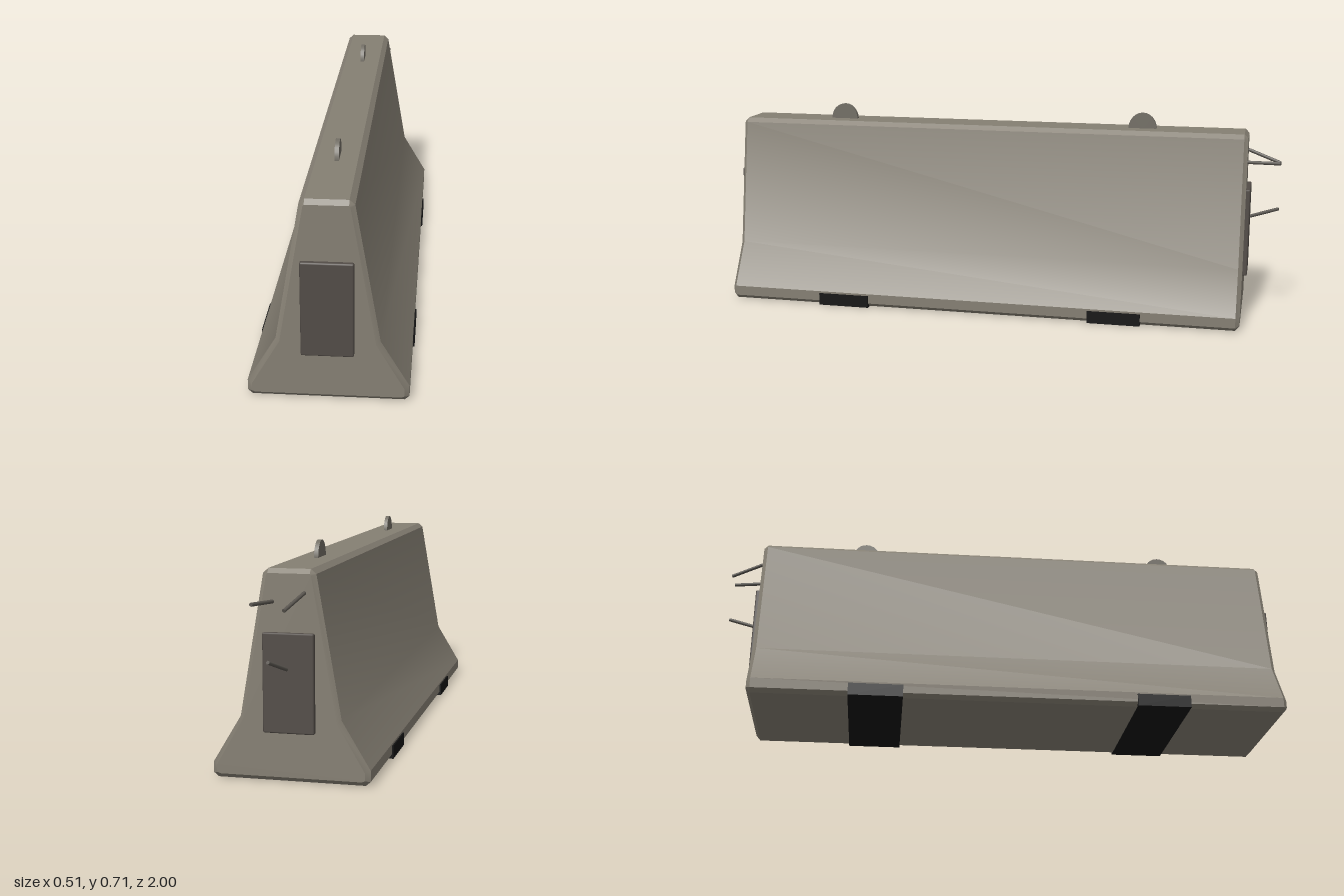
import * as THREE from 'three';
import { toCreasedNormals } from 'three/addons/utils/BufferGeometryUtils.js';
import { RoundedBoxGeometry } from 'three/addons/geometries/RoundedBoxGeometry.js';

const material = (name, color) => Object.assign(new THREE.MeshStandardMaterial({ color }), { name });

// Right half of the cross-section, bottom to top: full size and inset for the end faces
const OUTER = [[0.235, 0.002], [0.25, 0.015], [0.25, 0.05], [0.16, 0.2], [0.083, 0.645], [0.066, 0.66]];
const INSET = [[0.225, 0.016], [0.235, 0.02], [0.235, 0.045], [0.147, 0.195], [0.07, 0.64], [0.066, 0.646]];
const BACK = -0.885, FRONT = 0.985, BEVEL = 0.014;

const mirrored = (half) => [...half, ...half.map(([x, y]) => [-x, y]).reverse()];

// Loft the cross-sections from back to front, then close both ends
function barrierGeometry() {
  const rings = [
    [mirrored(INSET), BACK], [mirrored(OUTER), BACK + BEVEL],
    [mirrored(OUTER), FRONT - BEVEL], [mirrored(INSET), FRONT],
  ];
  const n = rings[0][0].length;
  const positions = rings.flatMap(([ring, z]) => ring.flatMap(([x, y]) => [x, y, z]));
  const index = [];
  for (let i = 0; i < 3; i++) {
    for (let j = 0; j < n; j++) {
      const k = (j + 1) % n;
      const a = i * n + j, b = i * n + k, c = b + n, d = a + n;
      index.push(a, b, c, a, c, d);
    }
  }
  const contour = rings[0][0].map(([x, y]) => new THREE.Vector2(x, y));
  for (const [a, b, c] of THREE.ShapeUtils.triangulateShape(contour, [])) {
    index.push(c, b, a, 3 * n + a, 3 * n + b, 3 * n + c);
  }
  const geometry = new THREE.BufferGeometry();
  geometry.setAttribute('position', new THREE.Float32BufferAttribute(positions, 3));
  geometry.setIndex(index);
  return toCreasedNormals(geometry, 0.5);
}

export function createModel() {
  const model = new THREE.Group();
  model.name = 'concreteBarrier';
  const concrete = material('concrete', 0x857f73);
  const panel = material('darkPanel', 0x524c47);
  const rubber = material('blackRubber', 0x141414);
  const steel = material('steel', 0x716d64);
  const rebar = material('rebar', 0x5a5650);

  const add = (name, geometry, mat, x = 0, y = 0, z = 0) => {
    const mesh = new THREE.Mesh(geometry, mat);
    mesh.name = name;
    mesh.position.set(x, y, z);
    model.add(mesh);
    return mesh;
  };

  add('barrierBody', barrierGeometry(), concrete);

  // Raised plates on the two ends
  const plate = new RoundedBoxGeometry(0.162, 0.31, 0.04, 1, 0.005);
  add('frontPlate', plate, panel, 0, 0.312, 0.98);
  add('backPlate', plate, panel, 0, 0.312, -0.88);

  // Rubber pads wrapped under the base
  const pad = new THREE.BoxGeometry(0.51, 0.043, 0.187);
  add('frontPad', pad, rubber, 0, 0.0215, 0.546);
  add('backPad', pad, rubber, 0, 0.0215, -0.45);

  // Half-round lifting lugs on the top
  const lug = new THREE.CylinderGeometry(0.05, 0.05, 0.014, 24);
  lug.rotateZ(Math.PI / 2);
  lug.scale(1, 1.1, 1);
  add('frontLug', lug, steel, 0, 0.66, 0.61);
  add('backLug', lug, steel, 0, 0.66, -0.51);

  // Reinforcing bars sticking out of the back: x, start height, end height
  for (const [x, y0, y1] of [[0.05, 0.56, 0.565], [-0.05, 0.59, 0.55], [0, 0.35, 0.395]]) {
    const path = new THREE.LineCurve3(new THREE.Vector3(x, y0, -0.88), new THREE.Vector3(x + 0.032, y1, -0.998));
    const bar = new THREE.CylinderGeometry(0.006, 0.006, path.getLength(), 10);
    const mid = path.getPoint(0.5);
    add('rebar', bar, rebar, mid.x, mid.y, mid.z)
      .quaternion.setFromUnitVectors(new THREE.Vector3(0, 1, 0), path.getTangent(0));
  }
  return model;
}
